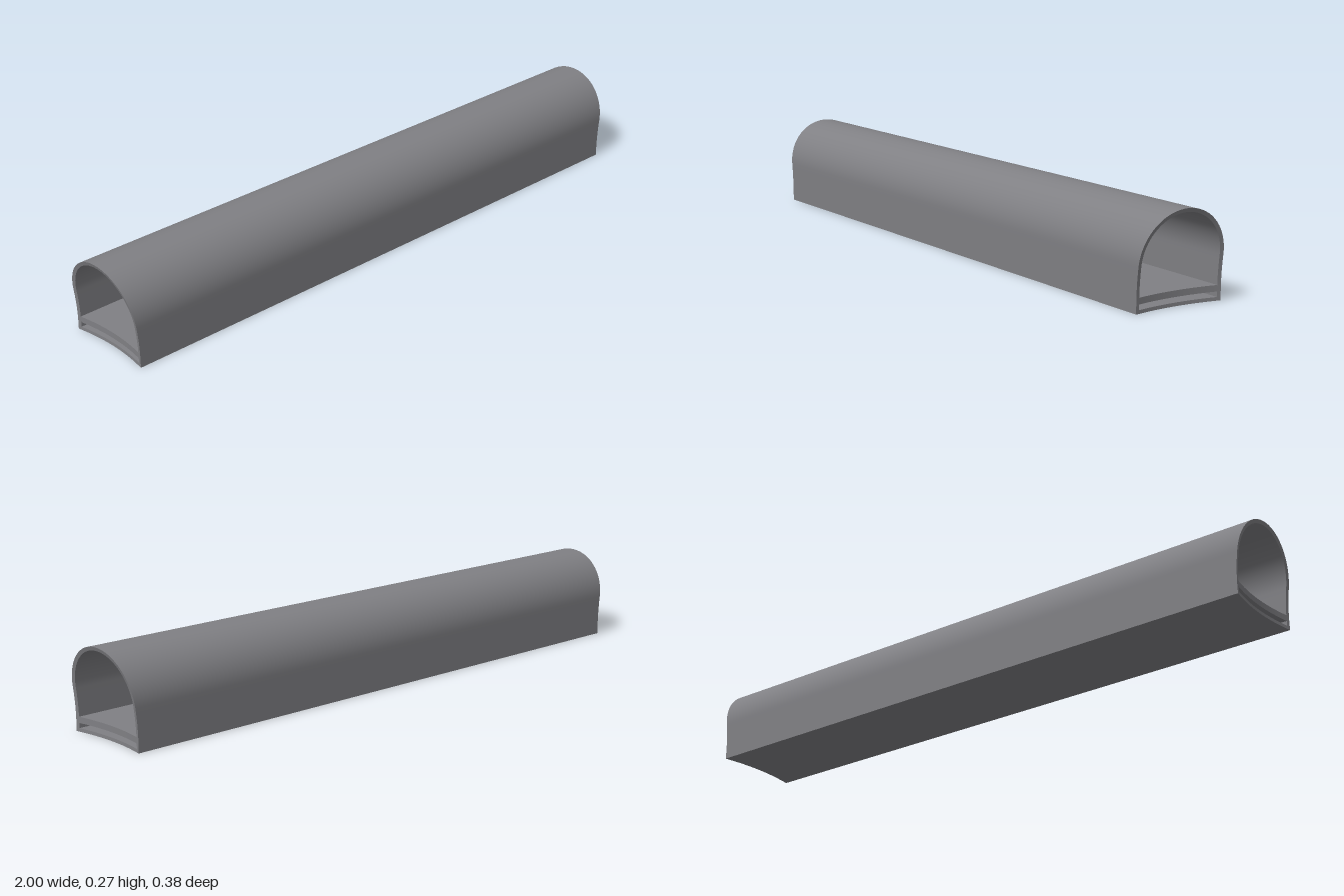
import * as THREE from 'three';
import { mergeGeometries } from 'three/addons/utils/BufferGeometryUtils.js';

const HALF = 0.143, WALL = 0.011, SPRING = 0.127;

// Tunnel mouths are hollowed by a large sphere, so length depends on the section point
const reach = (z, y) => 0.957 + (z * z + (y - 0.03) ** 2) / 1.4;

// Surface through rows of two points, smooth along the rows
function strip(rowA, rowB, flip) {
  const positions = [], index = [];
  rowA.forEach((a, i) => {
    positions.push(...a, ...rowB[i]);
    if (i === 0) return;
    const k = 2 * (i - 1);
    if (flip) index.push(k, k + 3, k + 1, k, k + 2, k + 3);
    else index.push(k, k + 1, k + 3, k, k + 3, k + 2);
  });
  const g = new THREE.BufferGeometry();
  g.setAttribute('position', new THREE.Float32BufferAttribute(positions, 3));
  g.setIndex(index);
  g.computeVertexNormals();
  return g;
}

// Long slab between an outer and an inner section line, with curved end rims
function slab(outer, inner) {
  const row = (line, side) => line.map(([z, y]) => [side * reach(z, y), y, z]);
  const [oL, oR, iL, iR] = [row(outer, -1), row(outer, 1), row(inner, -1), row(inner, 1)];
  return mergeGeometries([
    strip(oL, oR, false), strip(iL, iR, true),
    strip(oR, iR, false), strip(oL, iL, true),
  ]);
}

// Section line of an upright wall, round arch and second wall
function archLine(half, rise) {
  const line = [];
  for (let i = 0; i < 8; i++) line.push([half, SPRING * i / 8]);
  for (let i = 0; i <= 40; i++) {
    const a = Math.PI * i / 40;
    line.push([half * Math.cos(a), SPRING + rise * Math.sin(a)]);
  }
  for (let i = 7; i >= 0; i--) line.push([-half, SPRING * i / 8]);
  return line;
}

// Level section line across the tunnel
function levelLine(half, y) {
  return Array.from({ length: 25 }, (_, i) => [half * (1 - i / 12), y]);
}

export function createModel() {
  const group = new THREE.Group();
  group.name = 'tunnel';
  const grey = new THREE.MeshStandardMaterial({ color: 0x808084 });
  grey.name = 'grey';
  const add = (name, geometry) => {
    const mesh = new THREE.Mesh(geometry, grey);
    mesh.name = name;
    group.add(mesh);
  };

  // Arched shell
  add('archedShell', slab(archLine(HALF, 0.143), archLine(HALF - WALL, 0.132)));
  // Thin bottom plate and raised walkway with a gap between them
  add('bottomPlate', slab(levelLine(HALF, 0.01), levelLine(HALF, 0)));
  add('walkway', slab(levelLine(HALF - WALL, 0.043), levelLine(HALF - WALL, 0.025)));

  group.rotation.y = -0.046;
  return group;
}
